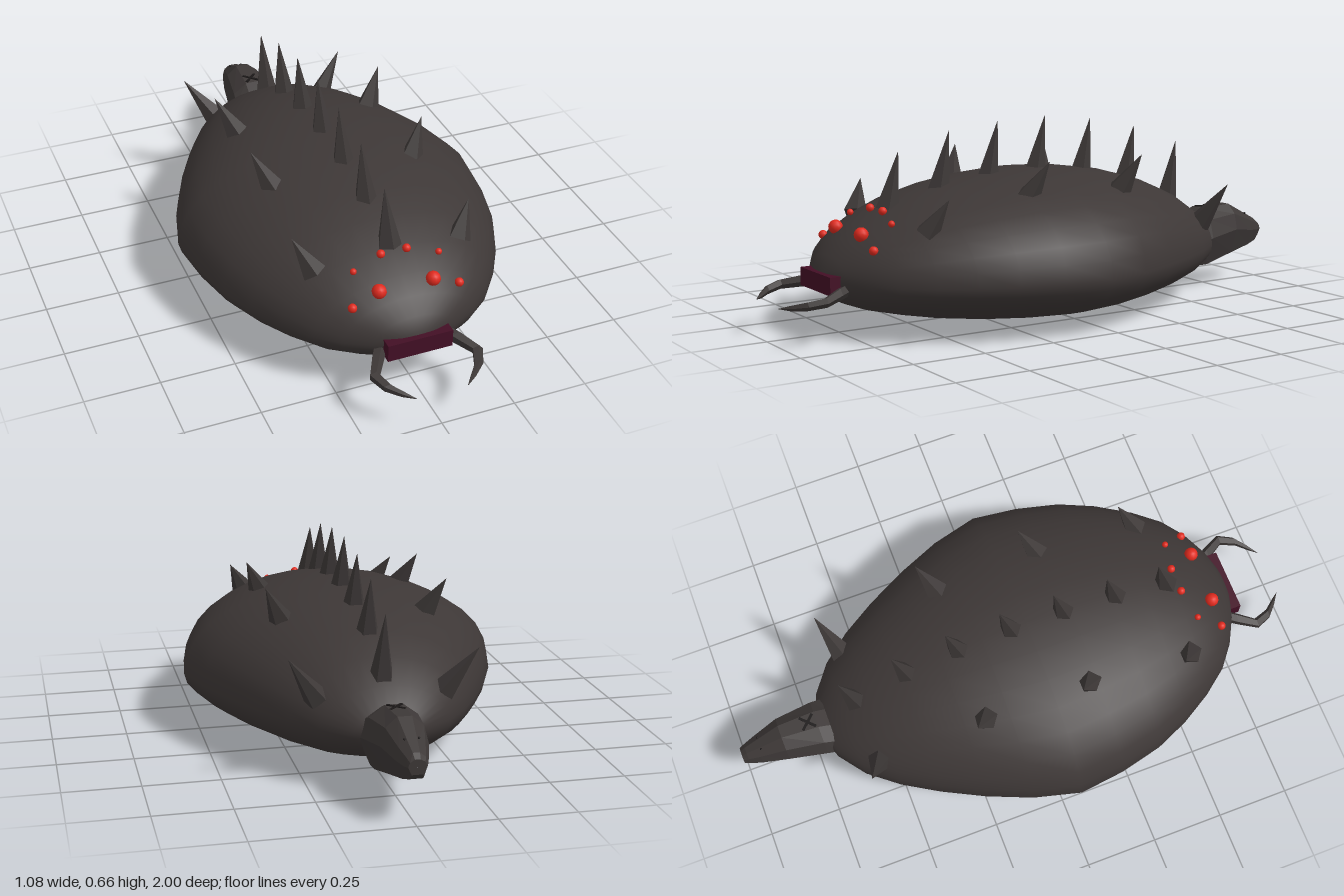
import * as THREE from 'three';

const flat = (name, color, flatShading = true) => {
  const m = new THREE.MeshStandardMaterial({ color, flatShading });
  m.name = name;
  return m;
};

// Skin over rings of [x, y, z] points, ordered from +z to -z, each counter-clockwise seen from the front
function loft(rings) {
  const n = rings[0].length, index = [];
  for (let i = 0; i < rings.length - 1; i++) {
    for (let j = 0; j < n; j++) {
      const a = i * n + j, b = i * n + (j + 1) % n;
      index.push(a, a + n, b, b, a + n, b + n);
    }
  }
  const g = new THREE.BufferGeometry();
  g.setAttribute('position', new THREE.Float32BufferAttribute(rings.flat(2), 3));
  g.setIndex(index);
  g.computeVertexNormals();
  return g;
}

const ring = (n, f) => Array.from({ length: n }, (_, j) => f(j / n * Math.PI * 2));

export function createModel() {
  const model = new THREE.Group();
  const shell = flat('shell', 0x3d3736, false);
  const horn = flat('horn', 0x3d3837);
  const red = flat('eye red', 0xe02a1e, false);
  const maroon = flat('mouth maroon', 0x430f25);
  const dark = flat('dark mark', 0x1a1717);

  const add = (name, geometry, material, parent = model) => {
    const mesh = new THREE.Mesh(geometry, material);
    mesh.name = name;
    parent.add(mesh);
    return mesh;
  };

  // Body: egg-shaped plan, high back and shallow belly (z, half width, top, bottom)
  const MID = 0.19;
  const stations = [
    [0.815, 0.001, 0.191, 0.189], [0.808, 0.07, 0.222, 0.155], [0.785, 0.14, 0.262, 0.13],
    [0.74, 0.225, 0.308, 0.1], [0.68, 0.30, 0.35, 0.078], [0.59, 0.37, 0.394, 0.058],
    [0.48, 0.435, 0.433, 0.038], [0.36, 0.487, 0.461, 0.023], [0.21, 0.523, 0.484, 0.011],
    [0.05, 0.542, 0.495, 0.005], [-0.11, 0.5, 0.49, 0.007], [-0.26, 0.437, 0.468, 0.017],
    [-0.4, 0.365, 0.43, 0.033], [-0.52, 0.292, 0.379, 0.055], [-0.62, 0.212, 0.315, 0.086],
    [-0.69, 0.12, 0.25, 0.126], [-0.715, 0.05, 0.21, 0.165], [-0.72, 0.001, 0.191, 0.189],
  ];
  add('body', loft(stations.map(([z, w, top, bottom]) => ring(32, a => {
    const s = Math.sin(a);
    return [w * Math.cos(a), MID + s * (s > 0 ? top - MID : MID - bottom), z];
  }))), shell);

  // Five-sided spines from a base point to a tip
  const spines = new THREE.Group();
  spines.name = 'spines';
  model.add(spines);
  const spine = (name, base, tip, radius) => {
    const from = new THREE.Vector3(...base), dir = new THREE.Vector3(...tip).sub(from);
    const g = new THREE.ConeGeometry(radius, dir.length(), 5);
    const m = add(name, g, horn, spines);
    m.position.copy(from).addScaledVector(dir, 0.5);
    m.quaternion.setFromUnitVectors(new THREE.Vector3(0, 1, 0), dir.normalize());
  };
  [[0.57, 0.39, 0.58], [0.38, 0.43, 0.635], [0.19, 0.455, 0.66], [0, 0.465, 0.667],
    [-0.19, 0.45, 0.65], [-0.38, 0.41, 0.612], [-0.57, 0.325, 0.547]]
    .forEach(([z, y, tip]) => spine('backSpine', [0, y, z], [0, tip, z - 0.045], 0.041));
  for (const s of [1, -1]) {
    [[0.25, 0.345, 0.56, 0.455], [0.25, 0.43, 0.185, 0.55],
      [0.245, 0.425, -0.185, 0.55], [0.205, 0.27, -0.56, 0.42]]
      .forEach(([x, y, z, tip]) => spine('sideSpine', [s * x, y, z], [s * 0.305, tip, z - 0.05], 0.042));
  }

  // Tail head: faceted block tapering to a blunt snout (z, half width, top, bottom)
  const outline = [[1, 0.5], [0.8, 0.82], [0.3, 1], [-0.3, 1], [-0.8, 0.82], [-1, 0.5], [-0.62, 0], [0.62, 0]];
  const tail = [
    [-0.68, 0.001, 0.18, 0.179], [-0.68, 0.102, 0.27, 0.085], [-0.72, 0.097, 0.29, 0.085],
    [-0.85, 0.075, 0.295, 0.116], [-0.94, 0.05, 0.249, 0.134], [-0.982, 0.036, 0.228, 0.147],
    [-1, 0.029, 0.213, 0.166], [-1, 0.001, 0.19, 0.189],
  ];
  add('tailHead', loft(tail.map(([z, w, top, bottom]) =>
    outline.map(([x, y]) => [x * w, bottom + y * (top - bottom), z]))), horn);

  // Crossed mark on the tail head
  for (const s of [1, -1]) {
    const bar = add('crossMark', new THREE.BoxGeometry(0.009, 0.006, 0.066), dark);
    bar.position.set(0, 0.291, -0.75);
    bar.rotation.y = s * Math.PI / 4;
  }

  // Mouth plate
  add('mouth', new THREE.BoxGeometry(0.22, 0.06, 0.06), maroon).position.set(0, 0.18, 0.8);

  // Mirrored mandibles, eyes and nostrils
  const hook = [[0.085, 0.126, 0.995, 0.001], [0.115, 0.13, 0.968, 0.011], [0.152, 0.138, 0.93, 0.017],
    [0.174, 0.148, 0.875, 0.019], [0.135, 0.16, 0.81, 0.024], [0.11, 0.166, 0.77, 0.024]];
  const eyes = [[0.092, 0.333, 0.71, 0.024], [0.182, 0.295, 0.713, 0.015],
    [0.146, 0.368, 0.63, 0.011], [0.044, 0.394, 0.608, 0.014]];
  for (const s of [1, -1]) {
    add('mandible', loft(hook.map(([x, y, z, r]) =>
      ring(5, a => [s * x + r * Math.cos(a), y + r * 0.85 * Math.sin(a), z]))), horn);
    for (const [x, y, z, r] of eyes) {
      add('eye', new THREE.SphereGeometry(r, 12, 8), red).position.set(s * x, y, z);
    }
    add('nostril', new THREE.SphereGeometry(0.004, 6, 4), dark).position.set(s * 0.022, 0.253, -0.93);
  }
  return model;
}
